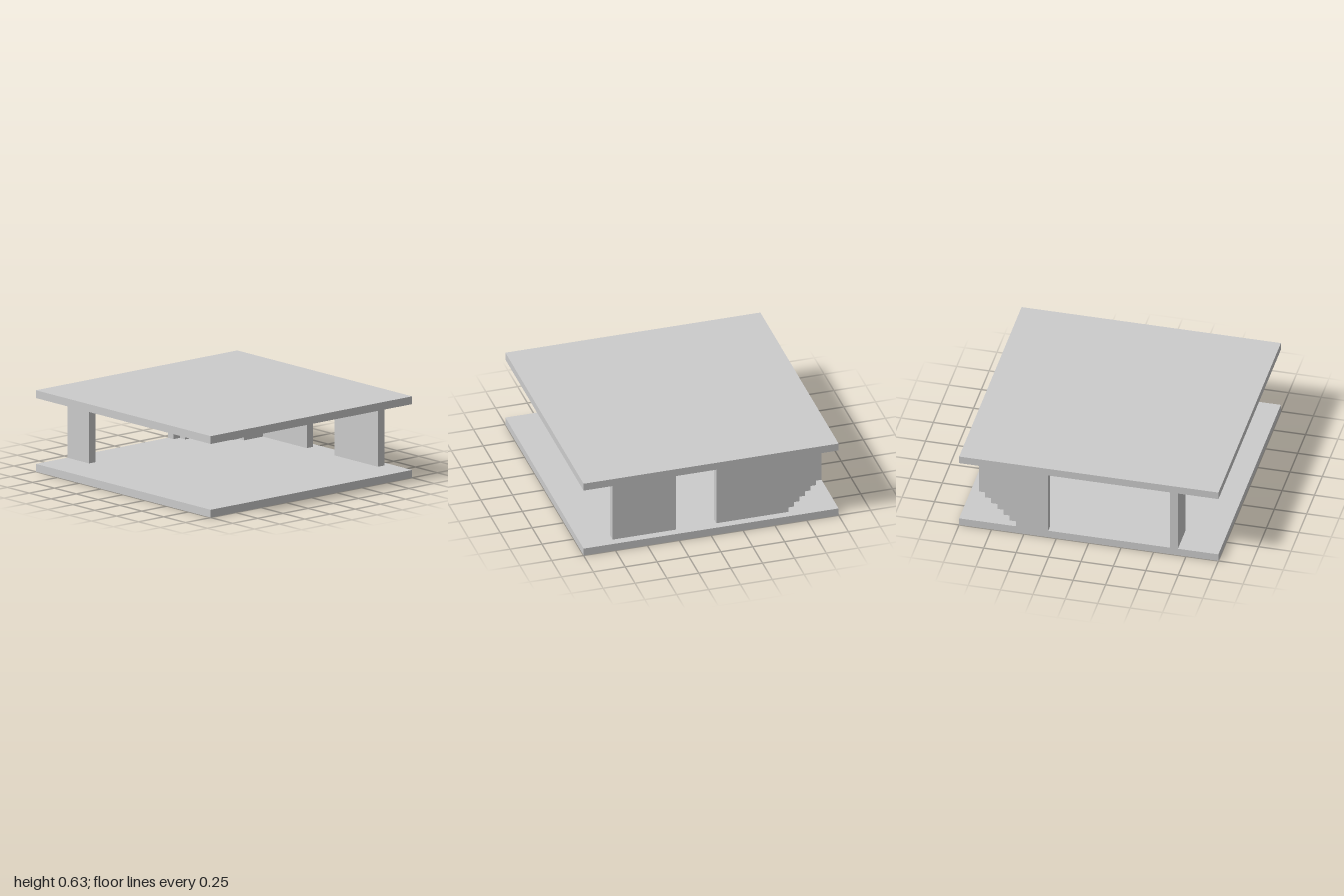
import * as THREE from 'three';

const U = 0.0625;      // grid cell: wall thickness and step size
const SLAB = 0.06;     // slab thickness
const TOP = 0.627;     // overall height

export function createModel() {
  const model = new THREE.Group();
  model.name = 'pavilion';
  const material = new THREE.MeshStandardMaterial({ color: 0xcccccc, flatShading: true });

  const add = (name, geometry) => {
    const mesh = new THREE.Mesh(geometry, material);
    mesh.name = name;
    model.add(mesh);
  };
  const box = (name, x0, x1, y0, y1, z0, z1) => {
    const g = new THREE.BoxGeometry(x1 - x0, y1 - y0, z1 - z0);
    add(name, g.translate((x0 + x1) / 2, (y0 + y1) / 2, (z0 + z1) / 2));
  };

  // Floor and roof slabs
  box('floorSlab', -1, 1, 0, SLAB, -1, 1);
  box('roofSlab', -1, 1, TOP - SLAB, TOP, -1, 1);

  // Free-standing wall panels
  const y0 = SLAB, y1 = TOP - SLAB;
  box('sideWall', 14 * U, 15 * U, y0, y1, 0.255, 0.753);
  box('backWall', -11 * U, -10 * U, y0, y1, -1, -0.75);

  // Stepped corner wall: seven offset rows, then a straight run along the side.
  // The plan is drawn in (x, -z) and extruded upward.
  const rows = 7, start = 5 * U, width = 4 * U;
  const plan = [];
  for (let k = 0; k < rows; k++) {           // inner, stepped edge
    plan.push([start + k * U, 1 - k * U], [start + k * U, 1 - (k + 1) * U]);
  }
  plan.push([14 * U, 1 - rows * U], [14 * U, 0.06], [15 * U, 0.06]);
  for (let k = rows - 1; k >= 0; k--) {      // outer, stepped edge
    const x = start + width + k * U;
    if (k < rows - 1) plan.push([x, 1 - (k + 1) * U]);
    plan.push([x, 1 - k * U]);
  }
  const shape = new THREE.Shape(plan.map(([x, y]) => new THREE.Vector2(x, y)));
  const stepped = new THREE.ExtrudeGeometry(shape, { depth: y1 - y0, bevelEnabled: false });
  add('steppedCornerWall', stepped.rotateX(-Math.PI / 2).translate(0, y0, 0));

  return model;
}
